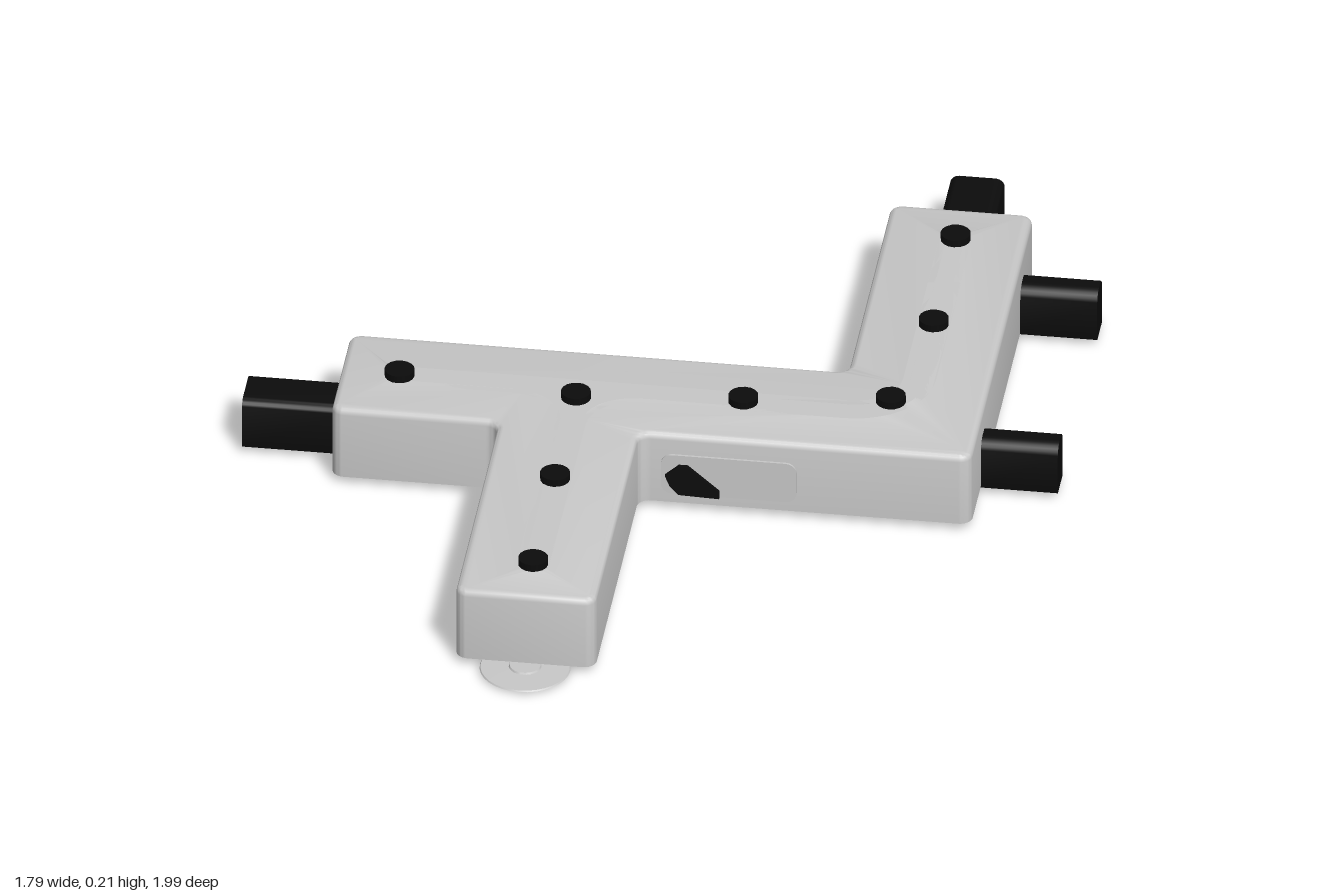
import * as THREE from 'three';
import { toCreasedNormals } from 'three/addons/utils/BufferGeometryUtils.js';

const grey = new THREE.MeshStandardMaterial({ color: 0xc8c8c8 });
grey.name = 'light grey plastic';
const black = new THREE.MeshStandardMaterial({ color: 0x0c0c0c });
black.name = 'black rubber';

const BASE = 0.02, TOP = 0.195, BEVEL = 0.015;

// Right-angled outline from [x, z, cornerRadius], drawn with y = -z so it can be laid flat
function roundedOutline(corners, Type = THREE.Shape) {
  const path = new Type();
  const pts = corners.map(([x, z]) => new THREE.Vector2(x, -z));
  const n = pts.length;
  pts.forEach((p, i) => {
    const r = corners[i][2];
    const prev = pts[(i + n - 1) % n], next = pts[(i + 1) % n];
    const a = p.clone().add(prev.clone().sub(p).setLength(r));
    const b = p.clone().add(next.clone().sub(p).setLength(r));
    const c = a.clone().lerp(p, 0.5523), d = b.clone().lerp(p, 0.5523);
    if (i) path.lineTo(a.x, a.y); else path.moveTo(a.x, a.y);
    path.bezierCurveTo(c.x, c.y, d.x, d.y, b.x, b.y);
  });
  path.closePath();
  return path;
}

// Branching track of half width h that follows the arms
function trackCorners(h) {
  const e = h * 0.98, L = -0.56, S = -0.165, R = 0.57, Z = 0.055;
  return [
    [L - h, Z - h, e], [R - h, Z - h, 0.14 - h], [R - h, -0.65 - h, e], [R + h, -0.65 - h, e],
    [R + h, Z + h, 0.14 + h], [S + h, Z + h, 0.14 - h], [S + h, 0.765 + h, e],
    [S - h, 0.765 + h, e], [S - h, Z + h, 0.14 - h], [L - h, Z + h, e],
  ];
}

export function createModel() {
  const model = new THREE.Group();
  const add = (name, geometry, material, x = 0, y = 0, z = 0, ry = 0) => {
    const mesh = new THREE.Mesh(geometry, material);
    mesh.name = name;
    mesh.position.set(x, y, z);
    mesh.rotation.y = ry;
    model.add(mesh);
    return mesh;
  };

  // Housing: soft upper edges, flat base, opening for the track
  const outline = roundedOutline([
    [-0.69, -0.1], [0.41, -0.1], [0.41, -0.78], [0.725, -0.78], [0.725, 0.21],
    [-0.01, 0.21], [-0.01, 0.895], [-0.32, 0.895], [-0.32, 0.21], [-0.69, 0.21],
  ].map(([x, z]) => [x, z, 0.028]));
  outline.holes.push(roundedOutline(trackCorners(0.035), THREE.Path));
  const housing = new THREE.ExtrudeGeometry(outline, {
    depth: TOP - BASE - BEVEL, bevelThickness: BEVEL, bevelSize: BEVEL,
    bevelOffset: -BEVEL, bevelSegments: 4, curveSegments: 8,
  });
  const pos = housing.attributes.position;
  for (let i = 0; i < pos.count; i++) pos.setZ(i, Math.max(0, pos.getZ(i)));
  housing.rotateX(-Math.PI / 2);
  add('housing', toCreasedNormals(housing, 0.6), grey, 0, BASE);

  // Track island fills the opening, leaving a thin groove around it
  const island = new THREE.ExtrudeGeometry(roundedOutline(trackCorners(0.036)), {
    depth: TOP - BASE, bevelEnabled: false, curveSegments: 8,
  });
  island.rotateX(-Math.PI / 2);
  add('trackIsland', toCreasedNormals(island, 0.6), grey, 0, BASE);

  // Studs along the track
  const stud = new THREE.CylinderGeometry(0.033, 0.033, 0.022, 16);
  [[-0.56, 0.055], [-0.165, 0.09], [0.2, 0.055], [0.52, 0.01], [0.57, -0.31],
    [0.57, -0.655], [-0.165, 0.42], [-0.165, 0.765]]
    .forEach(([x, z]) => add('stud', stud, black, x, 0.201, z));

  // Connectors: upright profiles with rounded upper corners, extruded outwards
  const connector = (name, width, length, radius, x, z, ry) => {
    const w = width / 2, h = 0.12;
    const s = roundedOutline([[-w, 0, 0.004], [w, 0, 0.004], [w, -h, radius], [-w, -h, radius]]);
    const g = new THREE.ExtrudeGeometry(s, { depth: length, bevelEnabled: false, curveSegments: 6 });
    add(name, toCreasedNormals(g, 0.6), black, x, 0.015, z, ry);
  };
  connector('rightConnector', 0.117, 0.22, 0.02, -0.68, 0.057, -Math.PI / 2);
  connector('backConnector', 0.12, 0.23, 0.02, 0.57, -0.77, Math.PI);
  connector('leftBackConnector', 0.078, 0.18, 0.03, 0.715, -0.607, Math.PI / 2);
  connector('leftFrontConnector', 0.078, 0.18, 0.03, 0.715, 0.015, Math.PI / 2);

  // Hanging tab: shallow disc with a small hub
  const tabProfile = [[0, 0], [0.06, 0], [0.1, 0.006], [0.098, 0.009], [0.036, 0.01],
    [0.034, 0.014], [0, 0.014]].map(([x, y]) => new THREE.Vector2(x, y));
  add('hangingTab', toCreasedNormals(new THREE.LatheGeometry(tabProfile, 32), 0.5),
    grey, -0.165, 0, 0.892);

  // Thin plates on the front and inner side walls
  const plate = (name, width, x, z, ry) => {
    const w = width / 2;
    const s = roundedOutline([[-w, -0.05, 0.025], [-w, 0.05, 0.025], [w, 0.05, 0.025], [w, -0.05, 0.025]]);
    add(name, new THREE.ExtrudeGeometry(s, { depth: 0.006, bevelEnabled: false }), grey, x, 0.095, z, ry);
  };
  plate('frontPlate', 0.3, 0.19, 0.209, 0);
  plate('sidePlate', 0.28, 0.411, -0.31, -Math.PI / 2);

  // Plain dark wedge marker on the front plate
  const wedge = new THREE.Shape([[0.05, 0.095], [0.08, 0.122], [0.1, 0.122], [0.17, 0.062],
    [0.17, 0.045], [0.08, 0.048], [0.06, 0.07]].map(([x, y]) => new THREE.Vector2(x, y)));
  add('wedgeMarker', new THREE.ExtrudeGeometry(wedge, { depth: 0.009, bevelEnabled: false }),
    black, 0, 0, 0.2145);

  return model;
}
